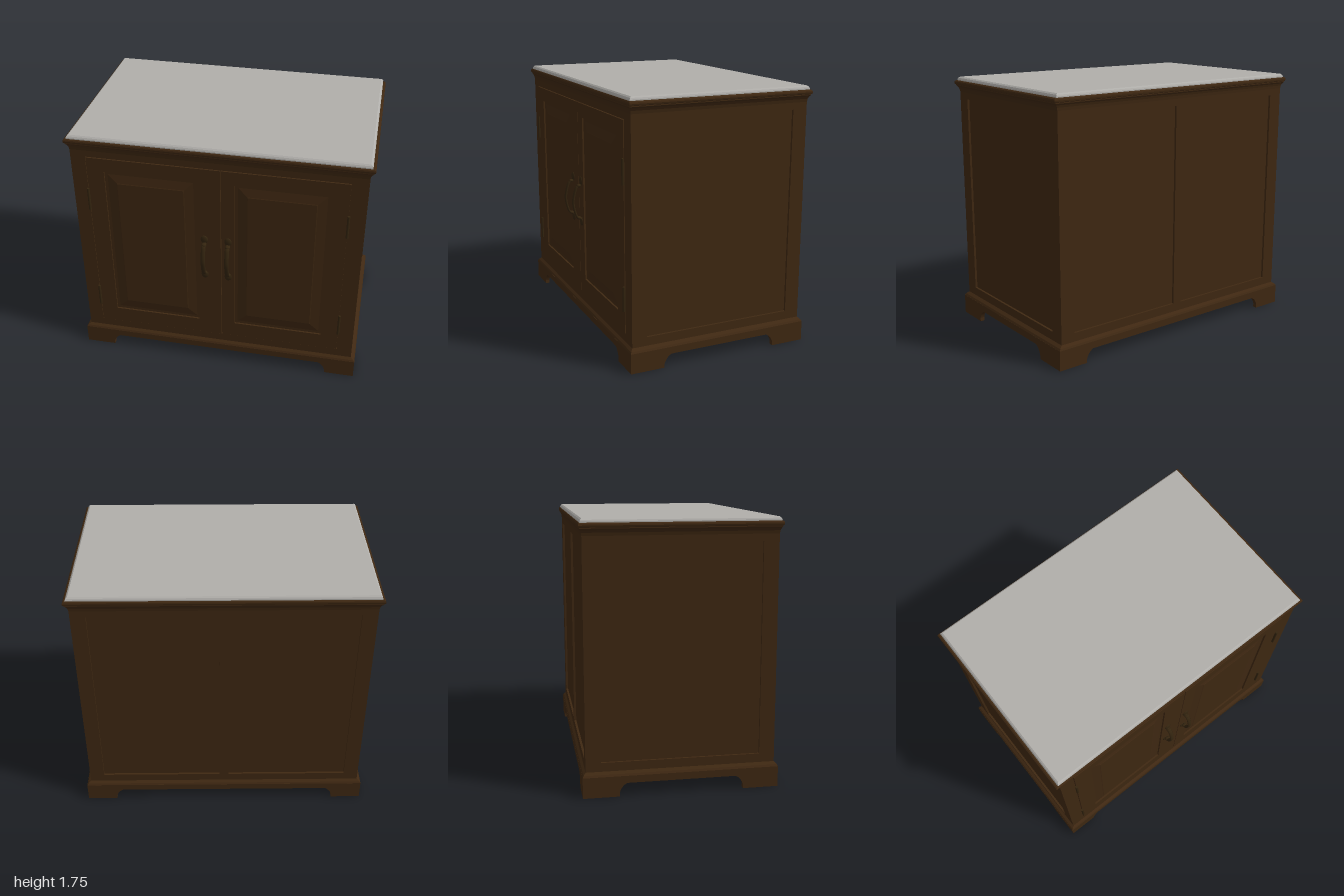
import * as THREE from 'three';

const wood = new THREE.MeshStandardMaterial({ color: 0x3f2812 });
wood.name = 'darkWood';
const metal = new THREE.MeshStandardMaterial({ color: 0x33240f });
metal.name = 'agedMetal';
const stone = new THREE.MeshStandardMaterial({ color: 0xb0aeaa });
stone.name = 'greyTop';

const HX = 0.965, HZ = 0.615; // half width and half depth of the carcass

function add(parent, name, geometry, material, x = 0, y = 0, z = 0) {
  const mesh = new THREE.Mesh(geometry, material);
  mesh.name = name;
  mesh.position.set(x, y, z);
  parent.add(mesh);
  return mesh;
}

// Stack of centred rectangles [halfX, halfZ, y], joined and capped
function loft(rings) {
  const pos = [];
  const corner = ([a, b, y], i) => [[a, y, b], [a, y, -b], [-a, y, -b], [-a, y, b]][i % 4];
  const quad = (a, b, c, d) => pos.push(...a, ...b, ...c, ...a, ...c, ...d);
  for (let r = 0; r < rings.length - 1; r++) {
    for (let i = 0; i < 4; i++) {
      quad(corner(rings[r], i), corner(rings[r], i + 1),
        corner(rings[r + 1], i + 1), corner(rings[r + 1], i));
    }
  }
  const first = rings[0], last = rings[rings.length - 1];
  quad(...[0, 1, 2, 3].map(i => corner(last, i)));
  quad(...[3, 2, 1, 0].map(i => corner(first, i)));
  const g = new THREE.BufferGeometry();
  g.setAttribute('position', new THREE.Float32BufferAttribute(pos, 3));
  g.computeVertexNormals();
  return g;
}

function rectPath(path, x0, x1, y0, y1) {
  path.moveTo(x0, y0);
  path.lineTo(x1, y0);
  path.lineTo(x1, y1);
  path.lineTo(x0, y1);
  path.closePath();
  return path;
}

// Flat board with rectangular openings
function frame(outer, holes, depth) {
  const shape = rectPath(new THREE.Shape(), ...outer);
  for (const h of holes) shape.holes.push(rectPath(new THREE.Path(), ...h));
  return new THREE.ExtrudeGeometry(shape, { depth, bevelEnabled: false });
}

// Plinth board with bracket feet at both ends
function plinthBoard(half, foot) {
  const s = new THREE.Shape();
  s.moveTo(-half, 0);
  s.lineTo(-foot, 0);
  s.lineTo(-foot, 0.025);
  s.quadraticCurveTo(-foot + 0.012, 0.07, -foot + 0.05, 0.088);
  s.lineTo(foot - 0.05, 0.088);
  s.quadraticCurveTo(foot - 0.012, 0.07, foot, 0.025);
  s.lineTo(foot, 0);
  s.lineTo(half, 0);
  s.lineTo(half, 0.135);
  s.lineTo(-half, 0.135);
  return new THREE.ExtrudeGeometry(s, { depth: 0.03, bevelEnabled: false, curveSegments: 8 });
}

function makeDoor(name, x0, x1, p0, p1) {
  const door = new THREE.Group();
  door.name = name;
  const y0 = 0.224, y1 = 1.596, q0 = 0.34, q1 = 1.5;
  add(door, 'doorFrame', frame([x0, x1, y0, y1], [[p0, p1, q0, q1]], 0.022), wood, 0, 0, HZ - 0.018);
  // Raised and fielded centre panel
  const w = (p1 - p0) / 2, h = (q1 - q0) / 2;
  const panel = add(door, 'raisedPanel', loft([
    [w, h, -0.02], [w, h, -0.008], [w - 0.02, h - 0.02, -0.008],
    [w - 0.08, h - 0.08, 0.001], [w - 0.085, h - 0.085, 0.003],
  ]), wood, (p0 + p1) / 2, (q0 + q1) / 2, HZ);
  panel.rotation.x = Math.PI / 2;
  return door;
}

function makeHandle(x) {
  const handle = new THREE.Group();
  handle.name = 'handle';
  const path = new THREE.CatmullRomCurve3([
    [0.775, 0], [0.79, 0.03], [0.82, 0.045], [0.9, 0.06],
    [0.98, 0.045], [1.01, 0.03], [1.025, 0],
  ].map(([y, z]) => new THREE.Vector3(0, y, z)));
  const grip = add(handle, 'bowGrip', new THREE.TubeGeometry(path, 32, 0.008, 8), metal);
  grip.scale.x = 1.9;
  for (const y of [0.757, 1.05]) {
    const rose = add(handle, 'rosette', new THREE.SphereGeometry(0.025, 16, 10), metal, 0, y, 0);
    rose.scale.set(1, 1.25, 0.4);
  }
  for (const y of [0.785, 1.018]) {
    const collar = add(handle, 'collar', new THREE.SphereGeometry(0.016, 12, 8), metal, 0, y, 0.018);
    collar.scale.set(1.1, 0.7, 1);
  }
  handle.position.set(x, 0, HZ + 0.004);
  return handle;
}

export function createModel() {
  const model = new THREE.Group();
  model.name = 'cabinet';
  const body = new THREE.Group();
  body.name = 'cabinetBody';
  body.position.set(-0.003, 0, -0.025);
  model.add(body);

  // Carcass core, recessed behind the face frames
  add(body, 'carcass', new THREE.BoxGeometry(2 * HX - 0.03, 1.56, 2 * HZ - 0.03), wood, 0, 0.88, 0);
  add(body, 'floor', new THREE.BoxGeometry(1.94, 0.04, 1.22), wood, 0, 0.115, 0);

  // Plinth boards and the panelled frames on all four sides
  const sides = [
    ['front', 0, HX, HZ, [[-0.865, 0.861, 0.22, 1.6]]],
    ['left', Math.PI / 2, HZ, HX, [[-0.515, 0.515, 0.22, 1.6]]],
    ['back', Math.PI, HX, HZ, [[-0.865, -0.032, 0.22, 1.6], [0.032, 0.865, 0.22, 1.6]]],
    ['right', -Math.PI / 2, HZ, HX, [[-0.515, 0.515, 0.22, 1.6]]],
  ];
  for (const [name, angle, half, out, holes] of sides) {
    const side = new THREE.Group();
    side.name = name + 'Side';
    side.rotation.y = angle;
    const wide = half === HX;
    add(side, 'faceFrame', frame([-half, half, 0.14, 1.68], holes, 0.02), wood, 0, 0, out - 0.02);
    add(side, 'plinthBoard', plinthBoard(wide ? 0.993 : 0.636, wide ? 0.785 : 0.403), wood,
      0, 0, (wide ? 0.636 : 0.993) - 0.03);
    body.add(side);
  }

  // Sloped moulding on the plinth
  add(body, 'plinthMoulding', loft([
    [0.993, 0.636, 0.134], [0.985, 0.63, 0.147], [HX, HZ, 0.162],
  ]), wood);

  // Cornice: cove, then a rounded bead under the top
  const cornice = [
    [0, 1.645], [0.004, 1.665], [0.012, 1.68], [0.022, 1.69], [0.022, 1.696],
    [0.029, 1.699], [0.032, 1.709], [0.03, 1.718], [0.022, 1.725],
  ];
  add(body, 'cornice', loft(cornice.map(([o, y]) => [HX + o, HZ + o * 0.66, y])), wood);

  // Worktop with softened edge
  add(body, 'worktop', loft([
    [0.978, 0.626, 1.722], [0.978, 0.626, 1.732], [0.973, 0.621, 1.742], [0.963, 0.612, 1.75],
  ]), stone);

  // Doors; the right one carries the overlapping closing strip
  body.add(makeDoor('rightDoor', -0.861, 0.03, -0.745, -0.13));
  body.add(makeDoor('leftDoor', 0.035, 0.857, 0.125, 0.74));
  for (const x of [-0.082, 0.08]) body.add(makeHandle(x));

  // Hinge barrels on the outer door edges
  for (const x of [-0.863, 0.859]) {
    for (const y of [0.455, 1.28]) {
      add(body, 'hinge', new THREE.CylinderGeometry(0.009, 0.009, 0.165, 12), metal, x, y, HZ + 0.01);
    }
  }
  return model;
}
